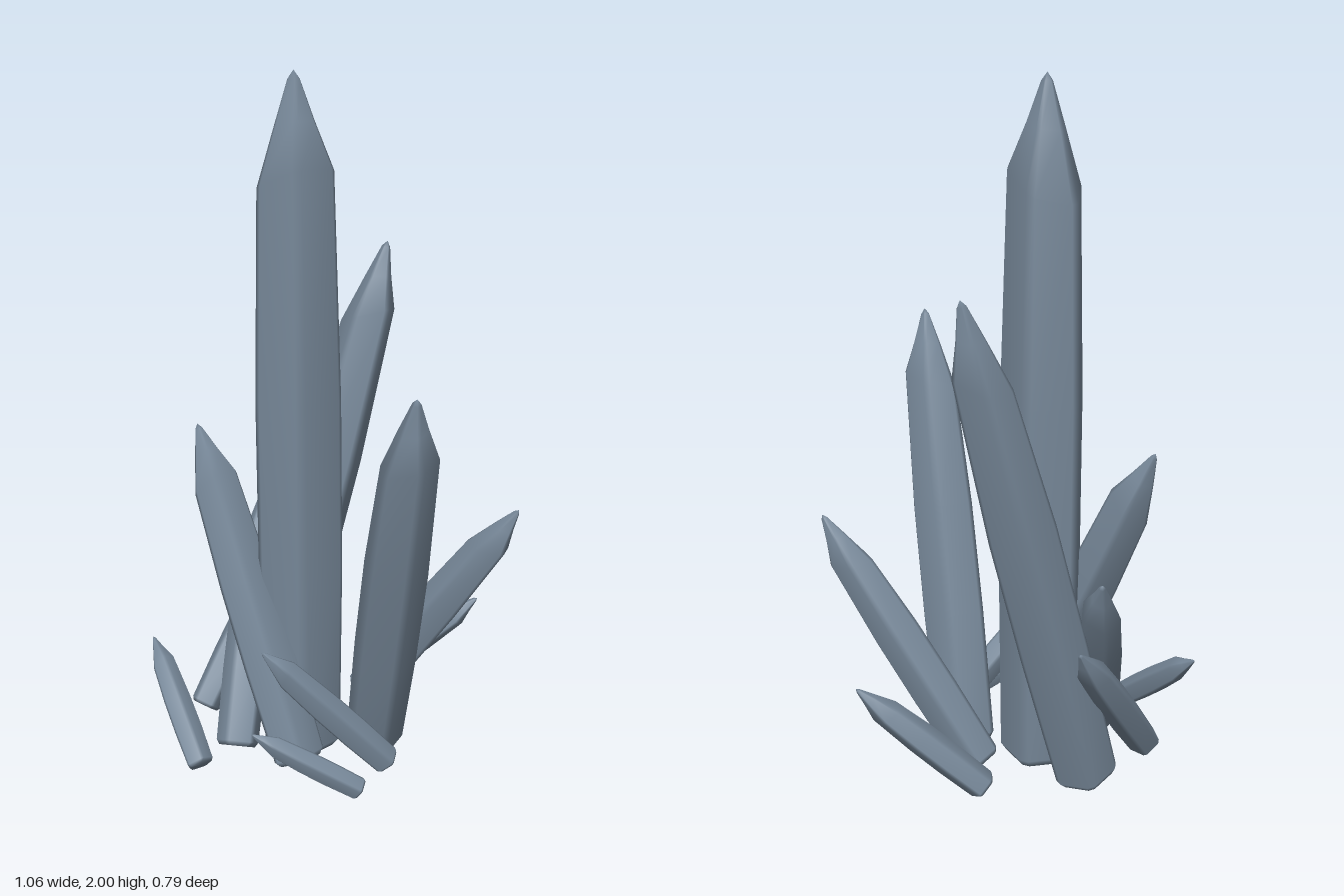
import * as THREE from 'three';

const SIDES = 5;

// Bevelled pentagonal crystal along +y: base cap, tapering shaft, pointed tip
function crystalGeometry(length, r, taper) {
  const shoulder = length - r * 2.3;
  // [height, radius, skew]: skew slants the shoulder from side to side
  const rings = [
    [0, 0.8, 0],
    [r * 0.2, 0.94, 0],
    [shoulder * 0.35, 1, 0],
    [shoulder * 0.65, 0.98, 0],
    [shoulder, taper, 0.4],
    [length - r * 1.1, taper * 0.52, 0.1],
    [length - r * 0.18, 0.13, 0],
  ];
  const n = SIDES * 2;
  const pos = [];
  const index = [];
  for (const [y, scale, skew] of rings) {
    for (let i = 0; i < n; i++) {
      // two points close to each corner make the narrow edge bevel
      const a = (Math.floor(i / 2) / SIDES) * Math.PI * 2 + (i % 2 ? 0.12 : -0.12);
      const slant = Math.cos(a + Math.PI / 4) * r * skew;
      pos.push(Math.cos(a) * r * scale, y + slant, -Math.sin(a) * r * scale);
    }
  }
  for (let k = 0; k < rings.length - 1; k++) {
    for (let i = 0; i < n; i++) {
      const a = k * n + i, b = k * n + ((i + 1) % n);
      index.push(a, b, b + n, a, b + n, a + n);
    }
  }
  const bottom = pos.length / 3;
  pos.push(0, 0, 0, 0, length, 0);
  const top = (rings.length - 1) * n;
  for (let i = 0; i < n; i++) {
    const j = (i + 1) % n;
    index.push(bottom, j, i, bottom + 1, top + i, top + j);
  }
  const geo = new THREE.BufferGeometry();
  geo.setAttribute('position', new THREE.Float32BufferAttribute(pos, 3));
  geo.setIndex(index);
  geo.computeVertexNormals();
  return geo;
}

export function createModel() {
  const group = new THREE.Group();
  group.name = 'crystalCluster';
  const crystalMat = new THREE.MeshStandardMaterial({ color: 0x778899 });
  crystalMat.name = 'slateCrystal';

  // name, base centre, tip, radius, roll about its own axis, shoulder taper
  const crystals = [
    ['mainCrystal', [-0.077, 0.005, 0.018], [-0.087, 2.0, 0.016], 0.123, 0.03, 0.84],
    ['backTallCrystal', [-0.235, 0.035, -0.14], [0.08, 1.48, -0.365], 0.097, 0.6, 0.76],
    ['frontTallCrystal', [0.14, 0.04, 0.0], [0.325, 1.28, 0.38], 0.093, 0.3, 0.82],
    ['leftLeaningCrystal', [-0.03, 0.07, 0.21], [-0.4, 0.99, -0.03], 0.08, 0.2, 0.84],
    ['rightLeaningCrystal', [0.07, 0.08, -0.18], [0.53, 0.79, -0.112], 0.068, 0.5, 0.82],
    ['innerLeftCrystal', [-0.235, 0.05, 0.17], [-0.28, 0.7, -0.285], 0.068, 0.7, 0.82],
    ['outerLeftCrystal', [-0.395, 0.065, 0.01], [-0.228, 0.52, -0.34], 0.051, 0.4, 0.84],
    ['backSmallCrystal', [0.04, 0.06, -0.287], [0.39, 0.37, -0.338], 0.047, 0.2, 0.84],
    ['frontSmallCrystal', [0.215, 0.06, 0.14], [-0.112, 0.46, 0.295], 0.046, 0.5, 0.84],
    ['frontLowCrystal', [0.17, 0.055, 0.285], [-0.12, 0.243, 0.375], 0.035, 0.3, 0.84],
    ['sideLowCrystal', [-0.305, 0.055, 0.295], [-0.532, 0.318, 0.062], 0.042, 0.4, 0.84],
  ];
  const up = new THREE.Vector3(0, 1, 0);
  for (const [name, base, tip, r, roll, taper] of crystals) {
    const from = new THREE.Vector3(...base);
    const dir = new THREE.Vector3(...tip).sub(from);
    const mesh = new THREE.Mesh(crystalGeometry(dir.length(), r, taper), crystalMat);
    mesh.name = name;
    mesh.position.copy(from);
    mesh.quaternion.setFromUnitVectors(up, dir.normalize());
    mesh.rotateY(roll);
    group.add(mesh);
  }
  return group;
}
